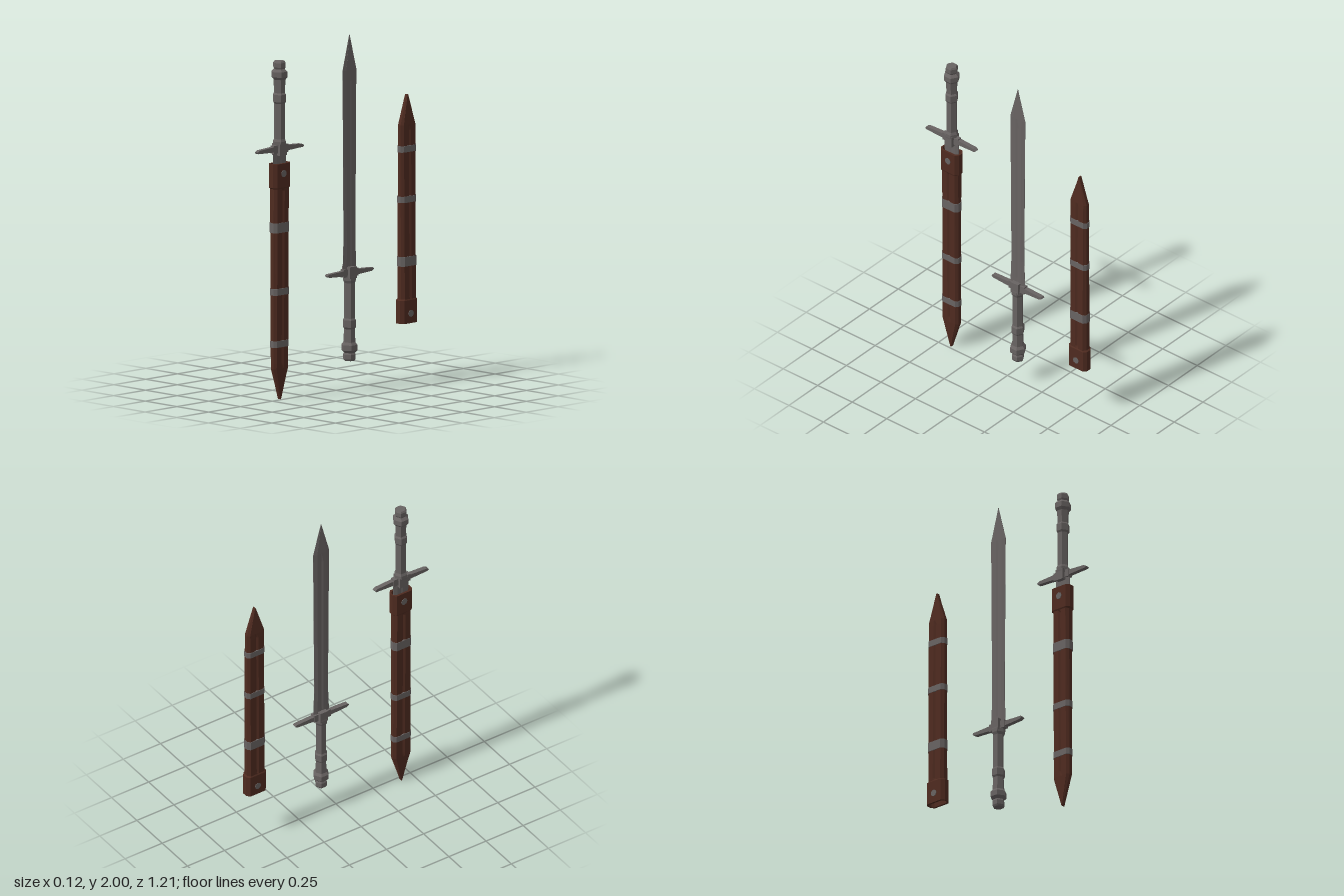
import * as THREE from 'three';

const metal = new THREE.MeshStandardMaterial({ color: 0x686362 });
metal.name = 'worn steel';
const leather = new THREE.MeshStandardMaterial({ color: 0x4f2b20 });
leather.name = 'brown leather';

// Faceted mesh with one normal per face
function part(name, geometry, material) {
  const flat = geometry.index ? geometry.toNonIndexed() : geometry;
  flat.computeVertexNormals();
  const mesh = new THREE.Mesh(flat, material);
  mesh.name = name;
  return mesh;
}

// Flattened section: half thickness t, half width w, groove depth g, edge thickness ratio
function section(y, t, w, g = 0, edge = 0.45, flat = 0.75) {
  const gw = Math.min(0.012, w * 0.4);
  const half = [[t * edge, w], [t, w * flat], [t, gw], [t - g, 0], [t, -gw], [t, -w * flat], [t * edge, -w]];
  return [...half, ...half.map(([x, z]) => [-x, -z])].map(([x, z]) => [x, y, z]);
}

// Skin over a series of sections, capped at both ends
function loft(rings) {
  const pos = [];
  const n = rings[0].length;
  for (let r = 0; r < rings.length - 1; r++) {
    for (let i = 0; i < n; i++) {
      const j = (i + 1) % n;
      const a = rings[r][i], b = rings[r][j], c = rings[r + 1][j], d = rings[r + 1][i];
      pos.push(...a, ...b, ...d, ...b, ...c, ...d);
    }
  }
  const first = rings[0], last = rings[rings.length - 1];
  for (let i = 0; i < n; i++) {
    const j = (i + 1) % n;
    pos.push(0, first[0][1], 0, ...first[j], ...first[i]);
    pos.push(0, last[0][1], 0, ...last[i], ...last[j]);
  }
  const geometry = new THREE.BufferGeometry();
  geometry.setAttribute('position', new THREE.Float32BufferAttribute(pos, 3));
  return geometry;
}

// Sword with its pommel at y = 0 and its point up
function makeSword() {
  const sword = new THREE.Group();
  sword.name = 'sword';

  // Six-sided pommel, ringed grip and collar
  const profile = [
    [0, 0], [0.03, 0], [0.036, 0.01], [0.036, 0.035], [0.031, 0.045], [0.047, 0.06], [0.047, 0.09],
    [0.035, 0.105], [0.031, 0.18], [0.038, 0.19], [0.038, 0.23], [0.031, 0.24], [0.031, 0.44],
    [0.038, 0.455], [0.038, 0.475], [0.034, 0.5], [0, 0.5],
  ].map(([x, y]) => new THREE.Vector2(x, y));
  sword.add(part('grip', new THREE.LatheGeometry(profile, 6), metal));

  // Crossguard with tapering arms
  const outline = new THREE.Shape([
    [-0.181, 0.497], [-0.165, 0.488], [-0.06, 0.482], [0.06, 0.482], [0.165, 0.488], [0.181, 0.497],
    [0.175, 0.506], [0.06, 0.511], [-0.06, 0.511], [-0.175, 0.506],
  ].map(([x, y]) => new THREE.Vector2(x, y)));
  const bar = new THREE.ExtrudeGeometry(outline, { depth: 0.026, bevelEnabled: false });
  bar.translate(0, 0, -0.013).rotateY(-Math.PI / 2);
  sword.add(part('crossguard', bar, metal));
  const block = new THREE.BoxGeometry(0.064, 0.065, 0.052).translate(0, 0.5, 0);
  sword.add(part('guardBlock', block, metal));
  const shoulder = new THREE.BoxGeometry(0.03, 0.045, 0.112).translate(0, 0.497, 0);
  sword.add(part('guardShoulder', shoulder, metal));

  // Blade with a shallow fuller, waisted above the guard
  const s = (y, t, w, g) => section(y, t, w, g, 0.15, 0.55);
  sword.add(part('blade', loft([
    s(0.5, 0.008, 0.052, 0), s(0.56, 0.007, 0.051, 0.003), s(0.68, 0.0065, 0.046, 0.003),
    s(1.58, 0.006, 0.053, 0.003), s(1.64, 0.006, 0.054, 0), s(1.84, 0.002, 0.001, 0),
  ]), metal));
  return sword;
}

// Scabbard with its open mouth at y = 0 and its tip up
function makeScabbard() {
  const scabbard = new THREE.Group();
  scabbard.name = 'scabbard';

  // Hollow mouth, thicker throat, grooved body and pointed tip
  scabbard.add(part('sheath', loft([
    section(0.1, 0.022, 0.057), section(0, 0.022, 0.057), section(0, 0.034, 0.066),
    section(0.13, 0.034, 0.066), section(0.137, 0.03, 0.058), section(0.15, 0.03, 0.058, 0.007),
    section(1.09, 0.023, 0.058, 0.006), section(1.12, 0.022, 0.058), section(1.29, 0.01, 0.003),
  ]), leather));

  // Metal bands around the body
  for (const [y, h] of [[0.35, 0.054], [0.7, 0.036], [0.985, 0.036]]) {
    const t = 0.034 - 0.0075 * y, w = 0.0605;
    scabbard.add(part('band', loft([section(y - h / 2, t, w), section(y + h / 2, t, w)]), metal));
  }

  // Rivet through the throat
  const rivet = new THREE.CylinderGeometry(0.02, 0.02, 0.074, 8).rotateZ(Math.PI / 2).translate(0, 0.055, 0);
  // Keep the rivet to a thin head on each side, leaving the mouth clear
  for (const side of [-1, 1]) {
    const head = rivet.clone().scale(0.07, 1, 1).translate(side * 0.0345, 0, 0);
    scabbard.add(part('rivet', head, metal));
  }
  return scabbard;
}

export function createModel() {
  const model = new THREE.Group();
  model.name = 'swordsAndScabbards';

  // Sheathed sword, point down
  const sheathed = new THREE.Group();
  sheathed.name = 'sheathedSword';
  const sword = makeSword();
  sword.rotation.x = Math.PI;
  sword.position.y = 1.912;
  const cover = makeScabbard();
  cover.rotation.x = Math.PI;
  cover.scale.y = 1.335 / 1.29;
  cover.position.y = 1.335;
  sheathed.add(sword, cover);
  sheathed.position.set(-0.022, 0, 0.422);

  // Bare sword, point up
  const bare = makeSword();
  bare.position.set(0.016, 0.16, -0.089);

  // Empty scabbard, tip up
  const empty = makeScabbard();
  empty.position.set(0.016, 0.32, -0.538);

  model.add(sheathed, bare, empty);
  return model;
}
